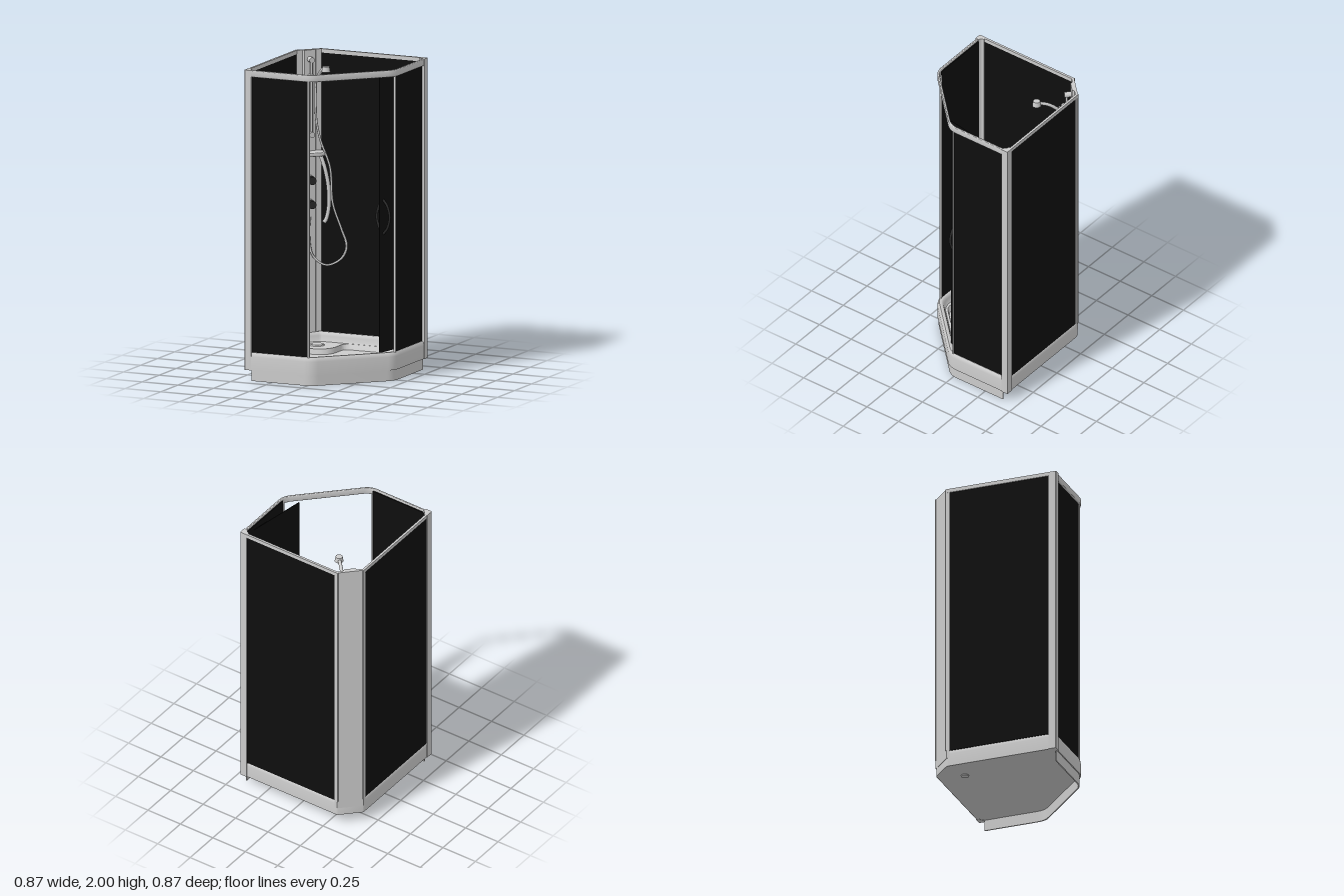
import * as THREE from 'three';
import { toCreasedNormals } from 'three/addons/utils/BufferGeometryUtils.js';

const grey = new THREE.MeshStandardMaterial({ color: 0xcccccc, side: THREE.DoubleSide });
const dark = new THREE.MeshStandardMaterial({ color: 0x0e0e0e, side: THREE.DoubleSide });
const black = new THREE.MeshStandardMaterial({ color: 0x2a2a2a });
const V = (x, y, z) => new THREE.Vector3(x, y, z);

function add(parent, name, geometry, material = grey, pos = [0, 0, 0]) {
  const mesh = new THREE.Mesh(geometry, material);
  mesh.name = name;
  mesh.position.set(...pos);
  parent.add(mesh);
  return mesh;
}

// Plan shape from [x, z, cornerTrim] points
function plan(points) {
  const shape = new THREE.Shape();
  const n = points.length;
  points.forEach(([x, z, r = 0], i) => {
    const toward = ([px, pz]) => {
      const l = Math.hypot(px - x, pz - z);
      return [x + (px - x) / l * r, z + (pz - z) / l * r];
    };
    const a = toward(points[(i + n - 1) % n]), b = toward(points[(i + 1) % n]);
    if (i === 0) shape.moveTo(...a); else shape.lineTo(...a);
    if (r) shape.quadraticCurveTo(x, z, ...b);
  });
  shape.closePath();
  return shape;
}

// Vertical prism from a plan shape
function prism(points, y0, y1, bevel = 0) {
  const g = new THREE.ExtrudeGeometry(plan(points), {
    depth: y1 - y0 - 2 * bevel, bevelEnabled: bevel > 0, bevelSize: bevel,
    bevelThickness: bevel, bevelOffset: -bevel, bevelSegments: 3, curveSegments: 10,
  });
  g.rotateX(Math.PI / 2).translate(0, y1 - bevel, 0);
  return toCreasedNormals(g, 0.6);
}

function flat(shape, y) {
  return new THREE.ShapeGeometry(shape, 10).rotateX(Math.PI / 2).translate(0, y, 0);
}

// Skin over closed loops of equal point count
function skin(loops) {
  const n = loops[0].length, pos = [], idx = [];
  loops.forEach(l => l.forEach(p => pos.push(p.x, p.y, p.z)));
  for (let j = 0; j < loops.length - 1; j++) for (let i = 0; i < n; i++) {
    const a = j * n + i, b = j * n + (i + 1) % n;
    idx.push(a, a + n, b + n, a, b + n, b);
  }
  const g = new THREE.BufferGeometry();
  g.setAttribute('position', new THREE.Float32BufferAttribute(pos, 3));
  g.setIndex(idx);
  return toCreasedNormals(g, 0.7);
}

// Cabin outline moved inward by d
function outline(d) {
  const s = 0.43 - d, c = 0.31 - 0.414 * d, f = 0.028 - 0.414 * d;
  return [[-s, -c, 0.01], [-c, -s, 0.01], [s, -s, 0.03], [s, f, 0.05], [f, s, 0.05], [-s, s, 0.03]];
}
const loop = (shape, y, k = 1) => {
  const p = shape.getPoints(10);
  if (p[0].distanceTo(p[p.length - 1]) < 1e-6) p.pop();
  return p.map(q => V(q.x * k, y, q.y * k));
};

// Strip along the right, diagonal and front sides
function strip(d1, d2, y0, y1, bevel) {
  const side = d => outline(d).slice(2).map(([x, z, r], i) =>
    i === 0 ? [x, -0.39] : i === 3 ? [-0.39, z] : [x, z, r]);
  return prism([...side(d1), ...side(d2).reverse()], y0, y1, bevel);
}

const tube = (pts, r, seg = 40) =>
  new THREE.TubeGeometry(new THREE.CatmullRomCurve3(pts.map(p => V(...p))), seg, r, 10);

function buildTray(parent) {
  const tray = new THREE.Group();
  tray.name = 'tray';
  parent.add(tray);
  const rings = [[0, 0.07], [0, 0.155], [0.004, 0.175], [0.012, 0.183], [0.026, 0.183],
    [0.034, 0.177], [0.04, 0.16], [0.043, 0.135], [0.05, 0.125]];
  add(tray, 'trayRim', skin(rings.map(([d, y]) => loop(plan(outline(d)), y))));
  // Recessed floor that curves around the raised drain corner
  const floor = plan([[-0.375, -0.13, 0.055], [-0.12, -0.13, 0.13], [-0.12, -0.375, 0.055],
    [0.362, -0.375, 0.04], [0.362, 0.005, 0.03], [0.005, 0.362, 0.03], [-0.375, 0.362, 0.05]]);
  const ledge = plan(outline(0.05));
  ledge.holes.push(floor);
  add(tray, 'trayLedge', flat(ledge, 0.125));
  add(tray, 'recessWall', skin([[1, 0.125], [0.99, 0.121], [0.975, 0.095], [0.965, 0.09]]
    .map(([k, y]) => loop(floor, y, k))));
  add(tray, 'trayFloor', flat(floor, 0.09).scale(0.965, 1, 0.965));
  add(tray, 'trayUnderside', flat(plan(outline(0)), 0.072));
  add(tray, 'drainCover', new THREE.CylinderGeometry(0.044, 0.048, 0.008, 32), grey, [-0.255, 0.129, -0.255]);
  add(tray, 'drainOutlet', new THREE.CylinderGeometry(0.025, 0.025, 0.06, 24), grey, [-0.255, 0.095, -0.255]);
  add(tray, 'skirt', strip(0.008, 0.016, 0, 0.08));
}

function buildWalls(parent) {
  // Each side is drawn along x, then mirrored across the x = z plane
  const sideBox = (name, mat, x0, x1, y0, y1, z0, z1) => {
    const size = [x1 - x0, y1 - y0, z1 - z0], c = [(x0 + x1) / 2, (y0 + y1) / 2, (z0 + z1) / 2];
    add(parent, name, new THREE.BoxGeometry(...size), mat, c);
    add(parent, name, new THREE.BoxGeometry(size[2], size[1], size[0]), mat, [c[2], c[1], c[0]]);
  };
  sideBox('backPanel', dark, -0.31, 0.4, 0.178, 1.98, -0.428, -0.42);
  sideBox('backTopRail', grey, -0.315, 0.4, 1.975, 2, -0.434, -0.419);
  sideBox('backPanelEdge', grey, -0.317, -0.303, 0.178, 2, -0.434, -0.419);
  sideBox('fixedPanel', dark, -0.4, 0.003, 0.178, 1.985, 0.409, 0.416);
  sideBox('panelUpright', grey, 0.001, 0.011, 0.178, 1.96, 0.406, 0.42);
  add(parent, 'frontTopRail', strip(0, 0.014, 1.955, 2, 0.005));
  // Corner posts
  const post = [[0.385, -0.435], [0.425, -0.435, 0.008], [0.435, -0.435, 0.008], [0.435, -0.389],
    [0.41, -0.389], [0.405, -0.4, 0.004], [0.396, -0.408], [0.385, -0.41]];
  add(parent, 'cornerPost', prism(post, 0.07, 2));
  add(parent, 'cornerPost', prism(post.map(([x, z, r]) => [z, x, r]), 0.07, 2));
}

function buildDoor(parent) {
  // Open door, local x running from its hinge side to its free edge
  const door = new THREE.Group();
  door.name = 'door';
  door.position.set(0.41, 0, -0.32);
  door.rotation.y = Math.atan2(-0.4, -0.07);
  parent.add(door);
  add(door, 'doorPanel', new THREE.BoxGeometry(0.406, 1.775, 0.004), dark, [0.203, 1.068, 0]);
  for (const s of [-1, 1])
    add(door, 'doorHandle', tube([[0.362, 0.94, 0], [0.362, 0.98, s * 0.032], [0.362, 1.05, s * 0.05],
      [0.362, 1.12, s * 0.032], [0.362, 1.16, 0]], 0.008), black);
}

function buildShowerColumn(parent) {
  // Local x runs along the cut corner, local z points into the cabin
  const col = new THREE.Group();
  col.name = 'showerColumn';
  col.position.set(-0.372, 0, -0.372);
  col.rotation.y = Math.PI / 4;
  parent.add(col);
  add(col, 'columnPanel', prism([[-0.085, 0], [0.085, 0], [0.1, 0.016], [0.046, 0.016], [0.036, 0.03],
    [-0.036, 0.03], [-0.046, 0.016], [-0.1, 0.016]], 0.125, 2));
  const outward = (r, len) => new THREE.CylinderGeometry(r, r, len, 24).rotateX(Math.PI / 2);
  // Slide bar and handset
  add(col, 'slideBar', new THREE.CylinderGeometry(0.008, 0.008, 0.51, 16), grey, [0, 1.7, 0.06]);
  for (const y of [1.46, 1.94]) add(col, 'barBracket', outward(0.018, 0.05), grey, [0, y, 0.05]);
  add(col, 'handsetHolder', outward(0.02, 0.07), grey, [0, 1.83, 0.075]);
  add(col, 'holderKnob', new THREE.CylinderGeometry(0.014, 0.014, 0.08, 20).rotateZ(Math.PI / 2), grey, [0, 1.83, 0.075]);
  add(col, 'handset', tube([[0.024, 1.8, 0.07], [0.026, 1.85, 0.12], [0.028, 1.895, 0.18], [0.028, 1.915, 0.245]], 0.011));
  add(col, 'showerHead', new THREE.CylinderGeometry(0.022, 0.028, 0.034, 28), grey, [0.028, 1.915, 0.255]);
  add(col, 'hose', tube([[0.024, 1.81, 0.07], [0.03, 1.55, 0.068], [0.055, 1.42, 0.08], [0.11, 1.25, 0.1],
    [0.125, 1.02, 0.11], [0.175, 0.86, 0.125], [0.208, 0.74, 0.14], [0.175, 0.66, 0.12], [0.09, 0.62, 0.085],
    [0.01, 0.68, 0.06], [-0.015, 0.82, 0.055], [0, 0.93, 0.03]], 0.007, 120));
  // Shelf with two bowed arms below it
  add(col, 'shelf', prism([[-0.095, 0.016], [0.095, 0.016], [0.1, 0.07, 0.02], [0.065, 0.112, 0.025],
    [-0.065, 0.112, 0.025], [-0.1, 0.07, 0.02]], 1.325, 1.35, 0.006));
  for (const s of [-1, 1])
    add(col, 'curvedArm', tube([[s * 0.06, 1.33, 0.06], [s * 0.082, 1.24, 0.085], [s * 0.1, 1.12, 0.1],
      [s * 0.1, 1.0, 0.105], [s * 0.08, 0.92, 0.11], [s * 0.065, 0.9, 0.11]], 0.013));
  // Control knobs
  for (const y of [1.165, 1.01]) {
    add(col, 'knobBase', outward(0.03, 0.012), grey, [0, y, 0.035]);
    add(col, 'controlKnob', outward(0.026, 0.045), black, [0, y, 0.06]);
  }
}

export function createModel() {
  const cabin = new THREE.Group();
  cabin.name = 'showerCabin';
  buildTray(cabin);
  buildWalls(cabin);
  buildDoor(cabin);
  buildShowerColumn(cabin);
  return cabin;
}
